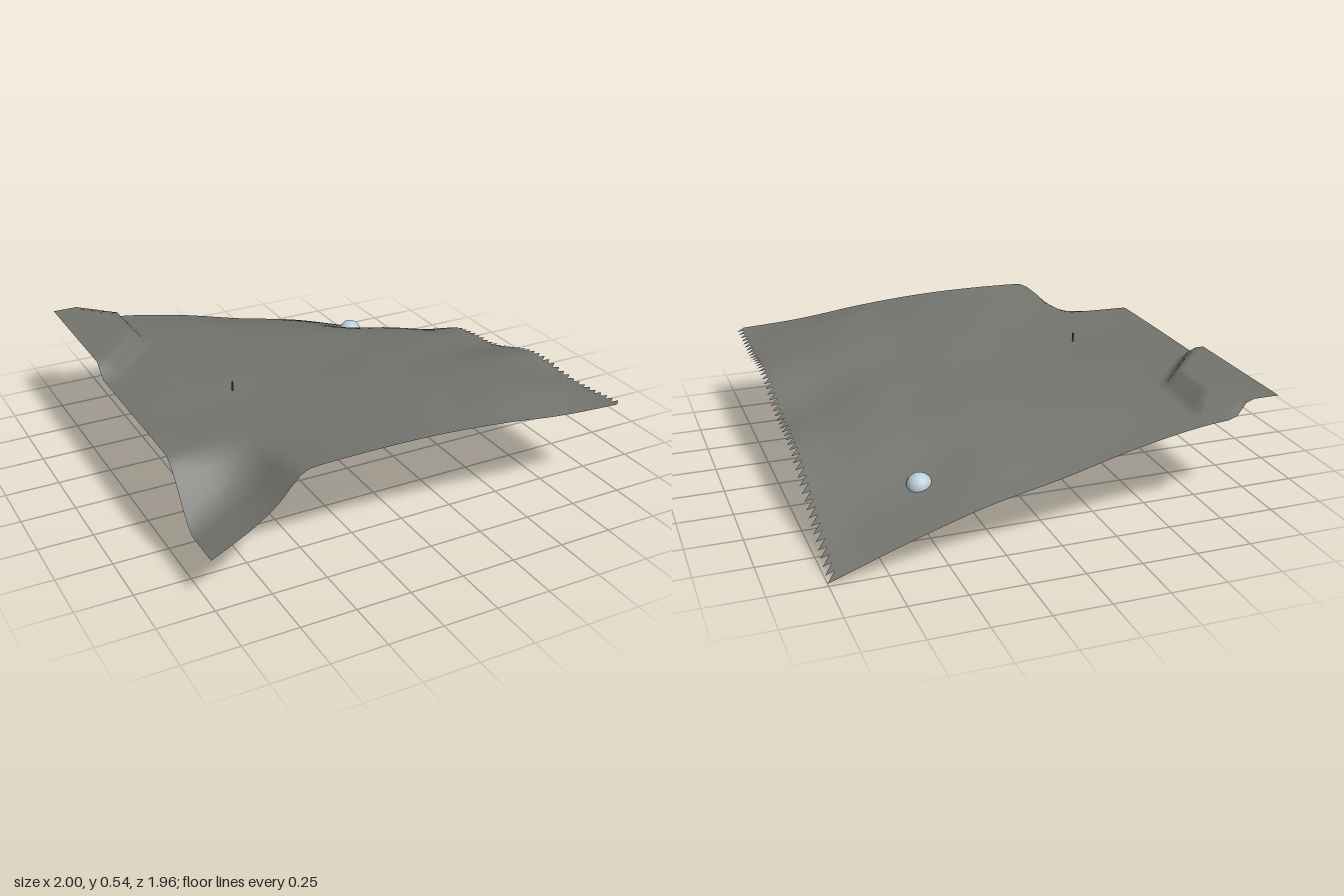
import * as THREE from 'three';

const COLS = 51, ROWS = 50, X0 = -1, Z0 = -0.98, W = 2, D = 1.96;

// Coarse heights: rows run back to front, columns from -x to +x
const HEIGHTS = [
  [0.47, 0.45, 0.39, 0.305, 0.23, 0.125, 0.005],
  [0.48, 0.475, 0.45, 0.40, 0.33, 0.23, 0.15],
  [0.48, 0.48, 0.475, 0.455, 0.41, 0.36, 0.30],
  [0.48, 0.48, 0.48, 0.475, 0.45, 0.40, 0.34],
  [0.48, 0.48, 0.485, 0.51, 0.485, 0.455, 0.43],
  [0.48, 0.49, 0.51, 0.525, 0.512, 0.49, 0.415],
  [0.50, 0.525, 0.535, 0.53, 0.505, 0.465, 0.445],
];

// Smooth curve through evenly spaced values, t from 0 to 1
function spline(values, t) {
  const n = values.length - 1;
  const f = THREE.MathUtils.clamp(t, 0, 1) * n;
  const i = Math.min(Math.floor(f), n - 1), u = f - i;
  const p1 = values[i], p2 = values[i + 1];
  const p0 = i > 0 ? values[i - 1] : 2 * p1 - p2;
  const p3 = i + 2 <= n ? values[i + 2] : 2 * p2 - p1;
  return p1 + 0.5 * u * (p2 - p0 + u * (2 * p0 - 5 * p1 + 4 * p2 - p3 + u * (3 * (p1 - p2) + p3 - p0)));
}

function heightAt(x, z) {
  const { lerp, smoothstep } = THREE.MathUtils;
  const tx = (x - X0) / W, tz = (z - Z0) / D;
  let y = spline(HEIGHTS.map((row) => spline(row, tx)), tz);

  // gentle gullies on the falling side, fading out at the borders
  const fade = smoothstep(x, 0, 0.5) * smoothstep(0.98 - Math.abs(z), 0, 0.25) * smoothstep(1 - x, 0, 0.15);
  y += 0.008 * fade * Math.sin(9 * x + 8 * z) * Math.cos(5 * x - 6 * z);

  // flat-topped mound in the back corner
  const d = Math.max(x + 0.68, z + 0.26, 0.764 * x + 0.646 * z + 0.88, 0.707 * (x - z) - 0.127);
  y = lerp(0.542, y, smoothstep(d, -0.045, 0.01));

  // hollow in the front corner
  const floor = spline([0.23, 0.28, 0.335, 0.41, 0.515, 0.535], (x + 1) / 0.5);
  if (x < -0.5) y = lerp(y, Math.min(y, floor), smoothstep(z, 0.53, 0.8));
  return Math.max(0, y);
}

// Grid of triangles; the last column keeps half of each cell, leaving a saw-tooth edge
function terrainGeometry() {
  const positions = [], index = [];
  for (let r = 0; r <= ROWS; r++) {
    for (let c = 0; c <= COLS; c++) {
      const x = X0 + (W * c) / COLS, z = Z0 + (D * r) / ROWS;
      positions.push(x, heightAt(x, z), z);
    }
  }
  for (let r = 0; r < ROWS; r++) {
    for (let c = 0; c < COLS; c++) {
      const a = r * (COLS + 1) + c, b = a + COLS + 1;
      index.push(a, b, a + 1);
      if (c < COLS - 1) index.push(a + 1, b, b + 1);
    }
  }
  const geometry = new THREE.BufferGeometry();
  geometry.setAttribute('position', new THREE.Float32BufferAttribute(positions, 3));
  geometry.setIndex(index);
  geometry.computeVertexNormals();
  return geometry;
}

export function createModel() {
  const group = new THREE.Group();
  const rock = new THREE.MeshStandardMaterial({ color: 0x757570, side: THREE.DoubleSide });
  rock.name = 'grey rock';
  const pale = new THREE.MeshStandardMaterial({ color: 0xbccfdb });
  pale.name = 'pale blue';
  const dark = new THREE.MeshStandardMaterial({ color: 0x55555a });
  dark.name = 'dark grey';

  const add = (parent, name, geometry, material, x, y, z) => {
    const mesh = new THREE.Mesh(geometry, material);
    mesh.name = name;
    mesh.position.set(x, y, z);
    parent.add(mesh);
    return mesh;
  };

  add(group, 'terrain', terrainGeometry(), rock, 0, 0, 0);

  // Ball half sunk into the slope
  add(group, 'ball', new THREE.SphereGeometry(0.056, 24, 16), pale, 0.53, 0.236, -0.7);

  // Tiny standing figure on the plateau
  const figure = new THREE.Group();
  figure.name = 'figure';
  figure.position.set(-0.52, heightAt(-0.52, 0.125), 0.125);
  group.add(figure);
  for (const side of [-1, 1]) {
    add(figure, 'leg', new THREE.CylinderGeometry(0.0018, 0.0018, 0.024, 6), dark, side * 0.0025, 0.01, 0);
  }
  add(figure, 'body', new THREE.CylinderGeometry(0.005, 0.004, 0.018, 8), dark, 0, 0.03, 0);
  add(figure, 'head', new THREE.SphereGeometry(0.004, 8, 6), dark, 0, 0.043, 0);
  return group;
}
